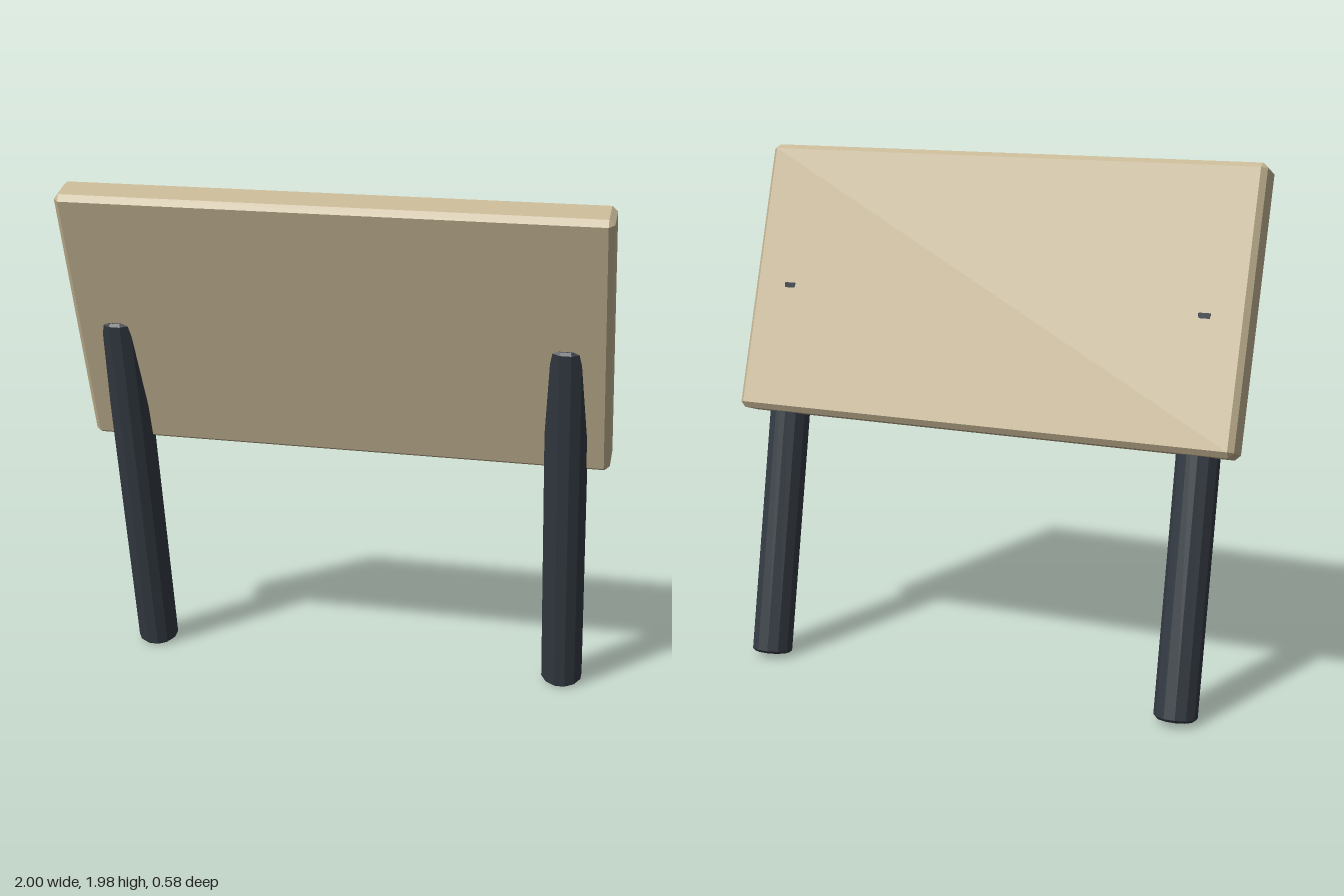
import * as THREE from 'three';
import { ConvexGeometry } from 'three/addons/geometries/ConvexGeometry.js';

const rad = THREE.MathUtils.degToRad;

// Box with a small chamfer along every edge
function chamferedBox(w, h, d, c) {
  const half = [w / 2, h / 2, d / 2];
  const points = [];
  for (let axis = 0; axis < 3; axis++) {
    for (const sx of [-1, 1]) for (const sy of [-1, 1]) for (const sz of [-1, 1]) {
      const p = [sx, sy, sz].map((s, i) => s * (i === axis ? half[i] : half[i] - c));
      points.push(new THREE.Vector3(...p));
    }
  }
  return new ConvexGeometry(points);
}

// Twelve-sided post standing on its base, with bevelled ends
function postGeometry(radius, length, bevel) {
  const profile = [
    [0, 0], [radius - bevel, 0], [radius, bevel],
    [radius, length - bevel], [radius - bevel, length], [0, length],
  ].map(([x, y]) => new THREE.Vector2(x, y));
  return new THREE.LatheGeometry(profile, 12, Math.PI / 12);
}

export function createModel() {
  const wood = new THREE.MeshStandardMaterial({ color: 0xc6b795, flatShading: true });
  wood.name = 'pale wood';
  const metal = new THREE.MeshStandardMaterial({ color: 0x343b43, flatShading: true });
  metal.name = 'dark metal';

  const model = new THREE.Group();
  model.name = 'leaningPanel';

  // Panel tilted forward at the top
  const panel = new THREE.Mesh(chamferedBox(2, 1.05, 0.136, 0.02), wood);
  panel.name = 'panel';
  panel.position.set(0, 1.467, 0.071);
  panel.rotation.x = rad(18);
  model.add(panel);

  // Slanted posts that run up through the panel
  const post = postGeometry(0.08, 1.472, 0.01);
  for (const [name, side] of [['leftPost', 1], ['rightPost', -1]]) {
    const mesh = new THREE.Mesh(post, metal);
    mesh.name = name;
    mesh.position.set(side * 0.84, 0.015, -0.217);
    mesh.rotation.x = rad(11.4);
    model.add(mesh);
  }

  return model;
}
